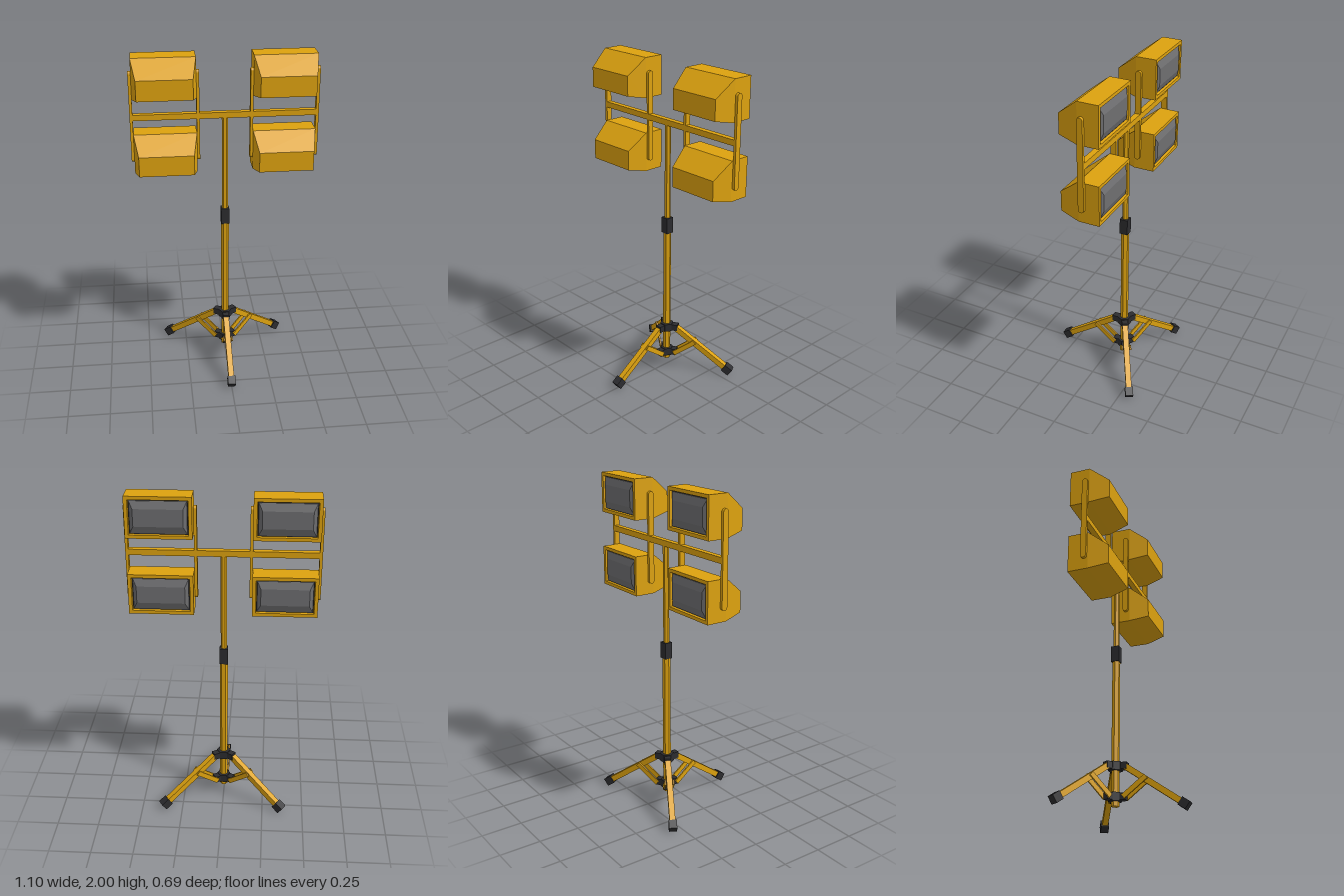
import * as THREE from 'three';

const yellow = new THREE.MeshStandardMaterial({ color: 0xdda20f });
yellow.name = 'yellow paint';
const black = new THREE.MeshStandardMaterial({ color: 0x2c2c2f });
black.name = 'black plastic';
const grey = new THREE.MeshStandardMaterial({ color: 0x6e6e70 });
grey.name = 'grey glass';

const POLE_Z = -0.103;

function add(parent, name, geometry, material, x = 0, y = 0, z = 0) {
  const mesh = new THREE.Mesh(geometry, material);
  mesh.name = name;
  mesh.position.set(x, y, z);
  parent.add(mesh);
  return mesh;
}

// Faceted six-sided tube with corners on the x axis
function hexTube(radius, height) {
  const g = new THREE.CylinderGeometry(radius, radius, height, 6).rotateY(Math.PI / 6).toNonIndexed();
  g.computeVertexNormals();
  return g;
}

// Joins rectangles [halfWidth, bottom, top, z], listed front to back, and caps both ends
function loftRects(rects) {
  const rings = rects.map(([w, b, t, z]) => [[-w, b, z], [w, b, z], [w, t, z], [-w, t, z]]);
  const pos = [];
  const quad = (a, b, c, d) => [a, b, c, a, c, d].forEach((p) => pos.push(...p));
  quad(...rings[0]);
  for (let i = 0; i + 1 < rings.length; i++) {
    const A = rings[i], B = rings[i + 1];
    for (let j = 0; j < 4; j++) {
      const k = (j + 1) % 4;
      quad(B[j], B[k], A[k], A[j]);
    }
  }
  quad(...rings[rings.length - 1].slice().reverse());
  const g = new THREE.BufferGeometry();
  g.setAttribute('position', new THREE.Float32BufferAttribute(pos, 3));
  g.computeVertexNormals();
  return g;
}

// Straight box between two points of the local x-y plane
function beam(parent, name, material, [x0, y0], [x1, y1], height, width, z = 0) {
  const length = Math.hypot(x1 - x0, y1 - y0);
  const mesh = add(parent, name, new THREE.BoxGeometry(length, height, width), material,
    (x0 + x1) / 2, (y0 + y1) / 2, z);
  mesh.rotation.z = Math.atan2(y1 - y0, x1 - x0);
  return mesh;
}

// Flat bar with round ends, standing upright, thickness along x
function roundedBar(bottom, top, width, thickness) {
  const r = width / 2;
  const s = new THREE.Shape();
  s.absarc(0, top - r, r, 0, Math.PI);
  s.absarc(0, bottom + r, r, Math.PI, Math.PI * 2);
  s.closePath();
  return new THREE.ExtrudeGeometry(s, { depth: thickness, bevelEnabled: false, curveSegments: 8 })
    .translate(0, 0, -thickness / 2).rotateY(Math.PI / 2);
}

// Lamp: tapered housing with a recessed back rim and a bulged glass
function makeLamp(x, y) {
  const lamp = new THREE.Group();
  lamp.name = 'lamp';
  lamp.position.set(x, y, 0);
  add(lamp, 'housing', loftRects([
    [0.16, -0.095, 0.025, 0.04],
    [0.185, -0.12, 0.12, -0.08],
    [0.185, -0.12, 0.12, -0.204],
    [0.165, -0.1, 0.1, -0.204],
    [0.162, -0.097, 0.097, -0.185],
  ]), yellow);
  add(lamp, 'gasket', loftRects([
    [0.162, -0.097, 0.097, -0.184],
    [0.162, -0.097, 0.097, -0.189],
  ]), black);
  add(lamp, 'glass', loftRects([
    [0.157, -0.092, 0.092, -0.188],
    [0.157, -0.092, 0.092, -0.193],
    [0.137, -0.05, 0.05, -0.208],
  ]), grey);
  return lamp;
}

// One tripod leg pointing along local +x
function makeLeg(angle) {
  const leg = new THREE.Group();
  leg.name = 'leg';
  leg.rotation.y = angle;
  const top = [0.055, 0.288], end = [0.43, 0.021];
  const along = (t) => [top[0] + (end[0] - top[0]) * t, top[1] + (end[1] - top[1]) * t];
  beam(leg, 'legTube', yellow, top, along(0.95), 0.035, 0.035);
  beam(leg, 'foot', black, along(0.885), end, 0.05, 0.048);
  add(leg, 'upperKnuckle', new THREE.BoxGeometry(0.05, 0.04, 0.04), black, 0.05, 0.287, 0);
  add(leg, 'lowerKnuckle', new THREE.BoxGeometry(0.045, 0.04, 0.042), black, 0.045, 0.107, 0);
  for (const side of [-1, 1]) {
    beam(leg, 'strut', yellow, [0.055, 0.102], [0.193, 0.208], 0.03, 0.009, side * 0.0255);
  }
  return leg;
}

export function createModel() {
  const model = new THREE.Group();
  model.name = 'floodlightStand';

  // Telescopic pole
  add(model, 'lowerPole', hexTube(0.024, 0.92), yellow, 0, 0.515, POLE_Z);
  add(model, 'upperPole', hexTube(0.018, 0.66), yellow, 0, 1.31, POLE_Z);
  add(model, 'poleCollar', new THREE.BoxGeometry(0.05, 0.1, 0.05), black, 0, 0.995, POLE_Z);

  // Tripod
  const tripod = new THREE.Group();
  tripod.name = 'tripod';
  tripod.position.z = POLE_Z;
  add(tripod, 'upperHub', hexTube(0.043, 0.05), black, 0, 0.287, 0);
  add(tripod, 'lowerHub', hexTube(0.04, 0.05), black, 0, 0.107, 0);
  for (const deg of [-90, 30, 150]) tripod.add(makeLeg(THREE.MathUtils.degToRad(deg)));
  model.add(tripod);

  // Crossbar, side brackets and four lamps
  add(model, 'crossbar', new THREE.BoxGeometry(1.072, 0.035, 0.035), yellow, 0, 1.647, POLE_Z);
  const bar = roundedBar(1.373, 1.922, 0.035, 0.017);
  for (const side of [-1, 1]) {
    for (const offset of [-0.1935, 0.1935]) {
      add(model, 'bracket', bar, yellow, side * 0.35 + offset, 0, POLE_Z);
    }
    for (const y of [1.88, 1.426]) model.add(makeLamp(side * 0.35, y));
  }
  return model;
}
